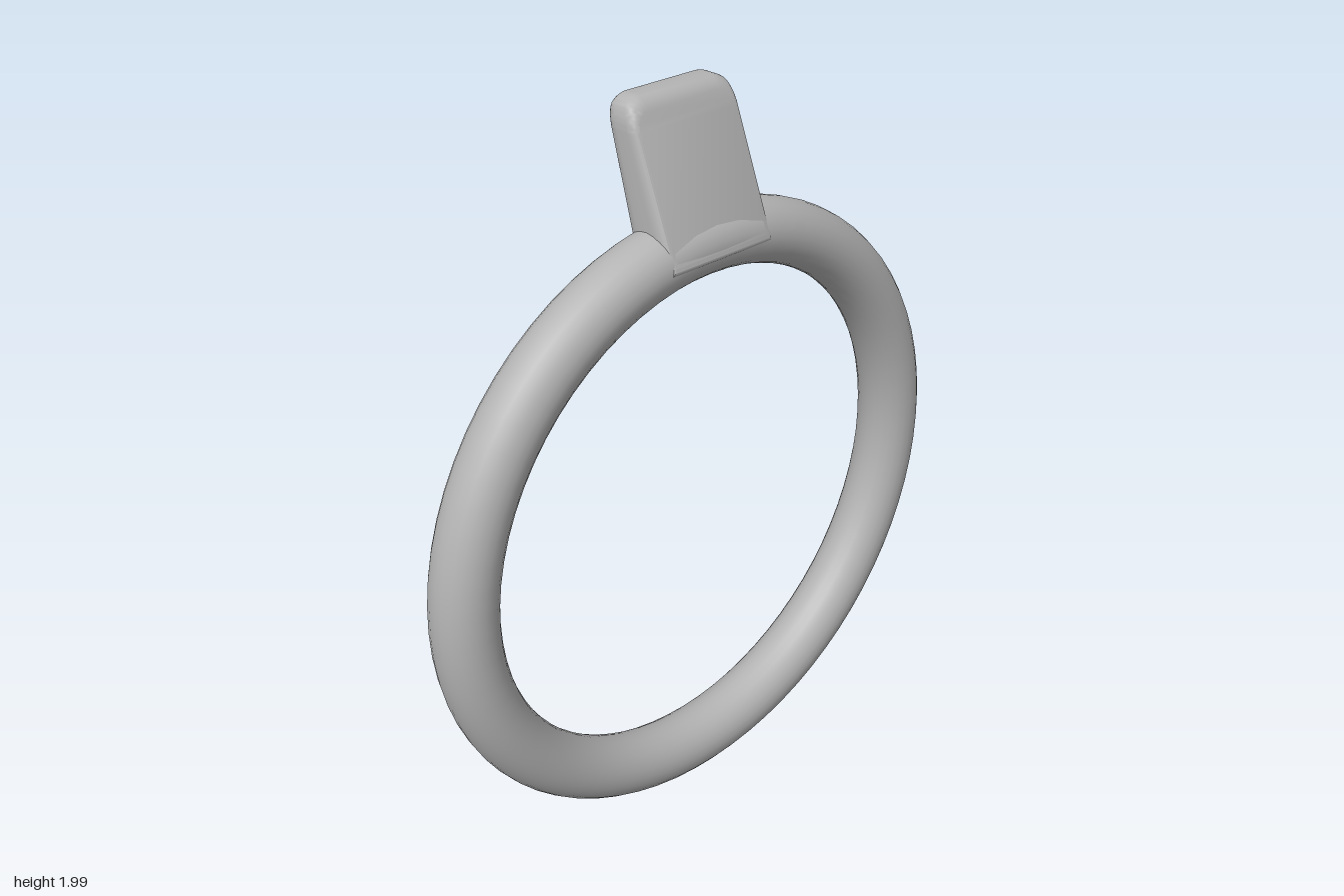
import * as THREE from 'three';
import { toCreasedNormals } from 'three/addons/utils/BufferGeometryUtils.js';

const RING_Y = 0.862, RING_Z = 0.027, RING_R = 0.77, TUBE_R = 0.086;

// Rounded tab, leaning backwards and thinning towards its top
function tabGeometry() {
  const w = 0.155, bottom = 1.63, top = 1.97, r = 0.045;
  const shape = new THREE.Shape();
  shape.moveTo(-w, bottom);
  shape.lineTo(w, bottom);
  shape.lineTo(w, top - r);
  shape.absarc(w - r, top - r, r, 0, Math.PI / 2, false);
  shape.absarc(-w + r, top - r, r, Math.PI / 2, Math.PI, false);
  shape.closePath();

  const geo = new THREE.ExtrudeGeometry(shape, {
    depth: 0.04, bevelThickness: 0.03, bevelSize: 0.03, bevelSegments: 5, curveSegments: 8,
  });
  const p = geo.attributes.position;
  for (let i = 0; i < p.count; i++) {
    const x = p.getX(i), y = p.getY(i);
    const s = (p.getZ(i) - 0.02) / 0.05; // -1 at the back, 1 at the front
    const front = 0.09 - 0.4 * (y - 1.69);
    const back = -0.037 - 0.27 * (y - 1.69);
    p.setZ(i, (front + back) / 2 + s * (front - back) / 2);
    // Tighter rounding on the sides than on the top
    if (Math.abs(x) > w) p.setX(i, Math.sign(x) * (w + (Math.abs(x) - w) * 0.5));
  }
  geo.deleteAttribute('uv');
  return toCreasedNormals(geo, 0.6);
}

export function createModel() {
  const model = new THREE.Group();
  model.name = 'ringWithTab';

  const grey = new THREE.MeshStandardMaterial({ color: 0xb3b3b3 });
  grey.name = 'grey';

  // Round hoop
  const ring = new THREE.Mesh(new THREE.TorusGeometry(RING_R, TUBE_R, 24, 72), grey);
  ring.name = 'ring';
  ring.position.set(0, RING_Y, RING_Z);
  model.add(ring);

  // Mounting tab on top of the hoop
  const tab = new THREE.Mesh(tabGeometry(), grey);
  tab.name = 'tab';
  model.add(tab);

  return model;
}
